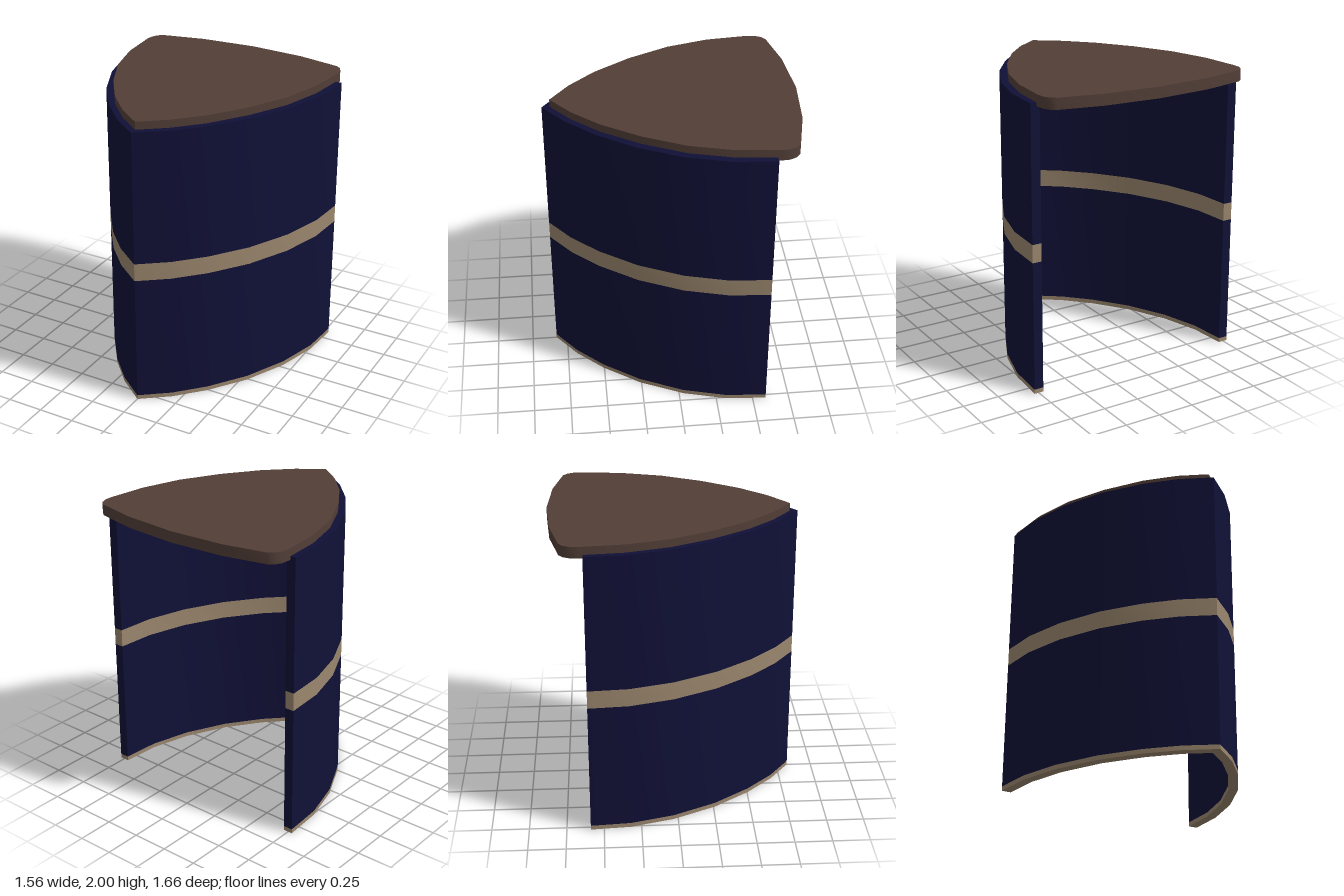
import * as THREE from 'three';
import { toCreasedNormals } from 'three/addons/utils/BufferGeometryUtils.js';

const navy = new THREE.MeshStandardMaterial({ color: 0x101037 });
navy.name = 'navy';
const tan = new THREE.MeshStandardMaterial({ color: 0x9a866d });
tan.name = 'tan';
const brown = new THREE.MeshStandardMaterial({ color: 0x523e37 });
brown.name = 'brown';

// Extrude a plan outline of [x, z] points upward from y0 to y1
function prism(name, outline, y0, y1, material) {
  const shape = new THREE.Shape(outline.map(([x, z]) => new THREE.Vector2(x, -z)));
  const geometry = new THREE.ExtrudeGeometry(shape, { depth: y1 - y0, bevelEnabled: false });
  geometry.rotateX(-Math.PI / 2).translate(0, y0, 0);
  const mesh = new THREE.Mesh(toCreasedNormals(geometry, 0.6), material);
  mesh.name = name;
  return mesh;
}

// Mirror a half outline whose listed points run along +x
const mirrored = (points) => points.filter(([x]) => x > 0).reverse().map(([x, z]) => [-x, z]);

export function createModel() {
  const group = new THREE.Group();
  group.name = 'shieldShapedLectern';

  // Wall plan: +x side from back end to front point, with a mitred inner face
  const outer = [[0.78, -0.59], [0.76, -0.32], [0.68, -0.03], [0.54, 0.26], [0.363, 0.505], [0.19, 0.685], [0, 0.828]];
  const thickness = 0.065;
  const normal = ([ax, az], [bx, bz]) => new THREE.Vector2(bz - az, ax - bx).normalize();
  const last = outer.length - 1;
  const inner = outer.map((p, i) => {
    if (i === 0) return [p[0] - thickness, p[1]];
    const n = normal(outer[i - 1], p);
    if (i === last) return [0, p[1] - thickness / n.y];
    const m = normal(p, outer[i + 1]);
    const miter = n.clone().add(m).normalize();
    const reach = thickness / miter.dot(n);
    return [p[0] - miter.x * reach, p[1] - miter.y * reach];
  });
  const wallPlan = [
    ...outer, ...mirrored(outer),
    ...mirrored(inner).reverse(), ...inner.slice().reverse(),
  ];

  // Stacked wall: base trim, lower panel, middle band, upper panel
  group.add(
    prism('baseTrim', wallPlan, 0, 0.03, tan),
    prism('lowerWall', wallPlan, 0.03, 0.912, navy),
    prism('middleBand', wallPlan, 0.912, 1.035, tan),
    prism('upperWall', wallPlan, 1.035, 1.947, navy),
  );

  // Top slab with rounded back corners and a bowed back edge
  const half = [
    [0, -0.83], [0.385, -0.802], [0.68, -0.738], [0.716, -0.71], [0.738, -0.665], [0.742, -0.61],
    [0.715, -0.33], [0.638, -0.05], [0.502, 0.225], [0.335, 0.47], [0.17, 0.645], [0, 0.775],
  ];
  const top = prism('topSlab', [...half, ...mirrored(half)], 1.925, 2, brown);
  top.position.x = -0.003;
  group.add(top);

  return group;
}
